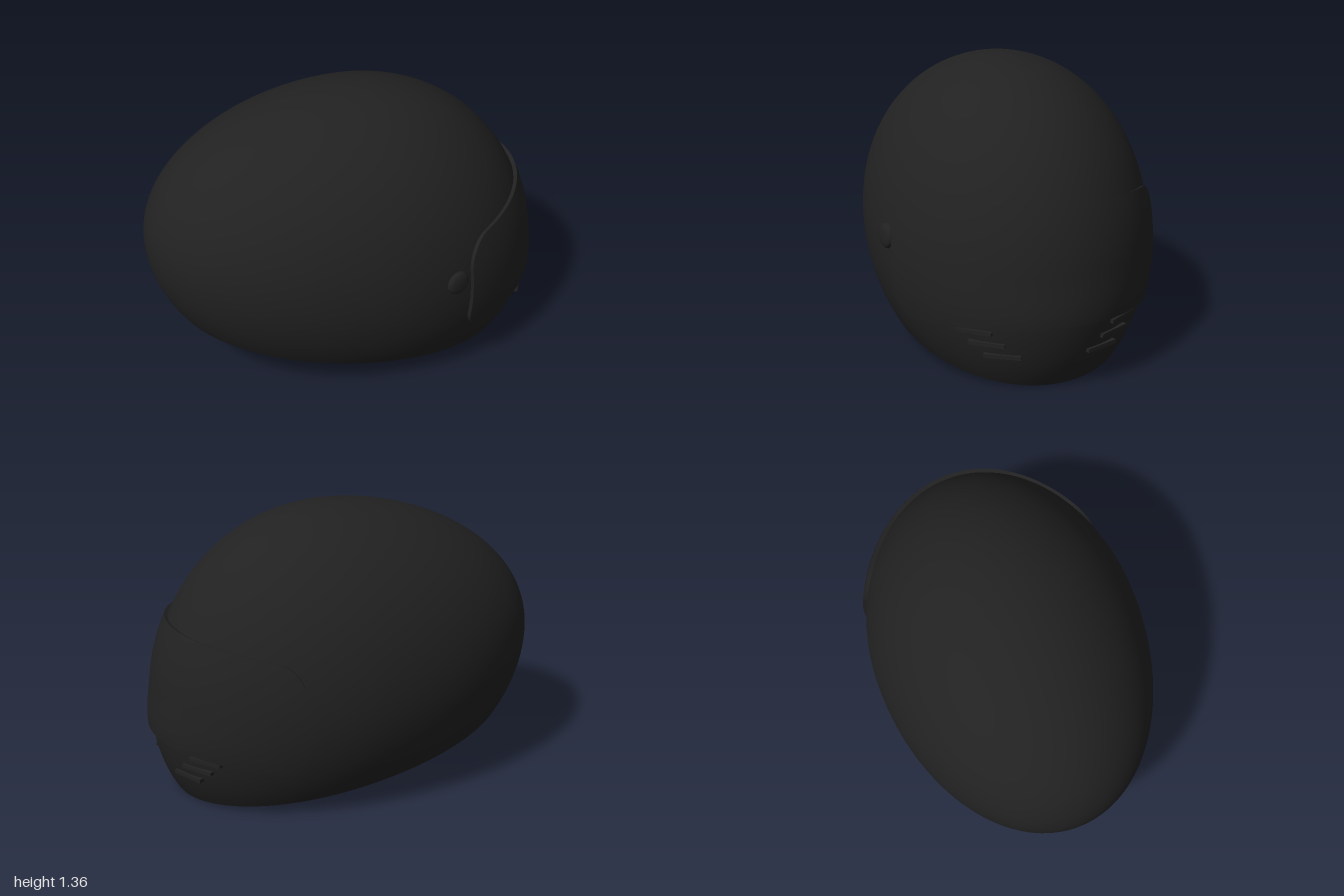
import * as THREE from 'three';
import { toCreasedNormals } from 'three/addons/utils/BufferGeometryUtils.js';

const { sin, cos, sqrt, abs, max, PI } = Math;

// Egg-shaped helmet surface: azimuth from the face (+x) towards +z, elevation upwards
function surface(azimuth, elevation, offset = 0) {
  const a = cos(elevation) * cos(azimuth);
  const c = cos(elevation) * sin(azimuth);
  const b = sin(elevation);
  const equator = 0.54 - 0.12 * a;
  const lower = 0.76 + (a > 0 ? 0.24 : 0.03) * a * a;
  const y = equator + b * (b > 0 ? 1.36 - equator : lower);
  // the chin swells forward a little
  const chin = a > 0 ? 0.018 * a ** 4 * (1 - THREE.MathUtils.smoothstep(y, 0.32, 0.54)) : 0;
  const p = new THREE.Vector3(0.05 + a * (a > 0 ? 0.91 : 1.05) + chin, y, 0.69 * c);
  return p.addScaledVector(normalAt(a, b, c), offset);
}

function normalAt(a, b, c) {
  return new THREE.Vector3(a / (a > 0 ? 0.91 : 1.05), b / 0.8, c / 0.69).normalize();
}

// Elevation at which a rising measure of the surface point reaches zero
function solve(azimuth, measure) {
  let lo = -PI / 2, hi = PI / 2;
  for (let i = 0; i < 40; i++) {
    const mid = (lo + hi) / 2;
    if (measure(surface(azimuth, mid)) < 0) lo = mid; else hi = mid;
  }
  return (lo + hi) / 2;
}
const elevationAtY = (azimuth, y) => solve(azimuth, (p) => p.y - y);

// Surface from a grid of points; i runs along the azimuth, j upwards
function grid(ni, nj, point) {
  const positions = [], index = [];
  for (let i = 0; i <= ni; i++) {
    for (let j = 0; j <= nj; j++) positions.push(...point(i, j).toArray());
  }
  for (let i = 0; i < ni; i++) {
    for (let j = 0; j < nj; j++) {
      const k = i * (nj + 1) + j, n = k + nj + 1;
      index.push(k, k + 1, n, n, k + 1, n + 1);
    }
  }
  const geometry = new THREE.BufferGeometry();
  geometry.setAttribute('position', new THREE.Float32BufferAttribute(positions, 3));
  geometry.setIndex(index);
  return toCreasedNormals(geometry, 0.6);
}

// Shell, cut by a sloping plane and closed underneath
function shellGeometry() {
  const ni = 128, nj = 56, starts = [];
  for (let i = 0; i <= ni; i++) {
    starts.push(solve((i / ni) * 2 * PI, (p) => p.y - 0.14 + 0.16 * p.x));
  }
  return grid(ni, nj + 1, (i, j) => {
    if (j === 0) return new THREE.Vector3(0, 0.14, 0);
    const t = (j - 1) / nj;
    return surface((i % ni) / ni * 2 * PI, starts[i] + (PI / 2 - starts[i]) * t);
  });
}

// Raised visor with rounded corners; the outermost grid lines sink into the shell
function visorGeometry() {
  const ni = 82, nj = 26, reach = 1.12, corner = 0.16;
  return grid(ni, nj, (i, j) => {
    const u = THREE.MathUtils.clamp((i - 1) / (ni - 2), 0, 1) * 2 - 1;
    const v = THREE.MathUtils.clamp((j - 1) / (nj - 2), 0, 1);
    const azimuth = reach * sin(u * PI / 2);
    const side = (azimuth / reach) ** 2;
    const q = max(0, (abs(azimuth) - reach + corner) / corner);
    const rounding = 0.14 * (1 - sqrt(max(0, 1 - q * q)));
    const top = elevationAtY(azimuth, 0.845 - 0.075 * side - rounding);
    const bottom = elevationAtY(azimuth, 0.325 - 0.085 * side + rounding);
    const rim = i === 0 || j === 0 || i === ni || j === nj;
    return surface(azimuth, bottom + (top - bottom) * v, rim ? -0.012 : 0.02);
  });
}

export function createModel() {
  const group = new THREE.Group();
  const black = new THREE.MeshStandardMaterial({ color: 0x212121 });
  black.name = 'black';

  const add = (name, geometry) => {
    const mesh = new THREE.Mesh(geometry, black);
    mesh.name = name;
    group.add(mesh);
    return mesh;
  };

  add('shell', shellGeometry());
  add('visor', visorGeometry());

  // Visor pivot knob, on one side only
  const profile = [[0, 0.022], [0.03, 0.021], [0.048, 0.016], [0.057, 0.008], [0.06, -0.002], [0.06, -0.03]]
    .reverse().map(([x, y]) => new THREE.Vector2(x, y));
  const knob = add('pivotKnob', new THREE.LatheGeometry(profile, 40));
  const knobAzimuth = Math.acos(0.32 / 0.91);
  const knobElevation = elevationAtY(knobAzimuth, 0.595);
  knob.position.copy(surface(knobAzimuth, knobElevation));
  knob.quaternion.setFromUnitVectors(
    new THREE.Vector3(0, 1, 0),
    normalAt(cos(knobAzimuth), 0.05, sin(knobAzimuth))
  );

  // Three slim chin vent bars on each side
  const vents = [[0.33, 0.285], [0.285, 0.23], [0.225, 0.173]];
  for (const side of [-1, 1]) {
    for (const [z, y] of vents) {
      const azimuth = side * Math.asin(z / 0.66);
      const elevation = elevationAtY(azimuth, y);
      const bar = add('chinVent', new THREE.BoxGeometry(0.17, 0.018, 0.03));
      bar.position.copy(surface(azimuth, elevation));
      bar.rotation.y = Math.atan2(cos(azimuth) / 0.91, sin(azimuth) / 0.69);
    }
  }
  return group;
}
